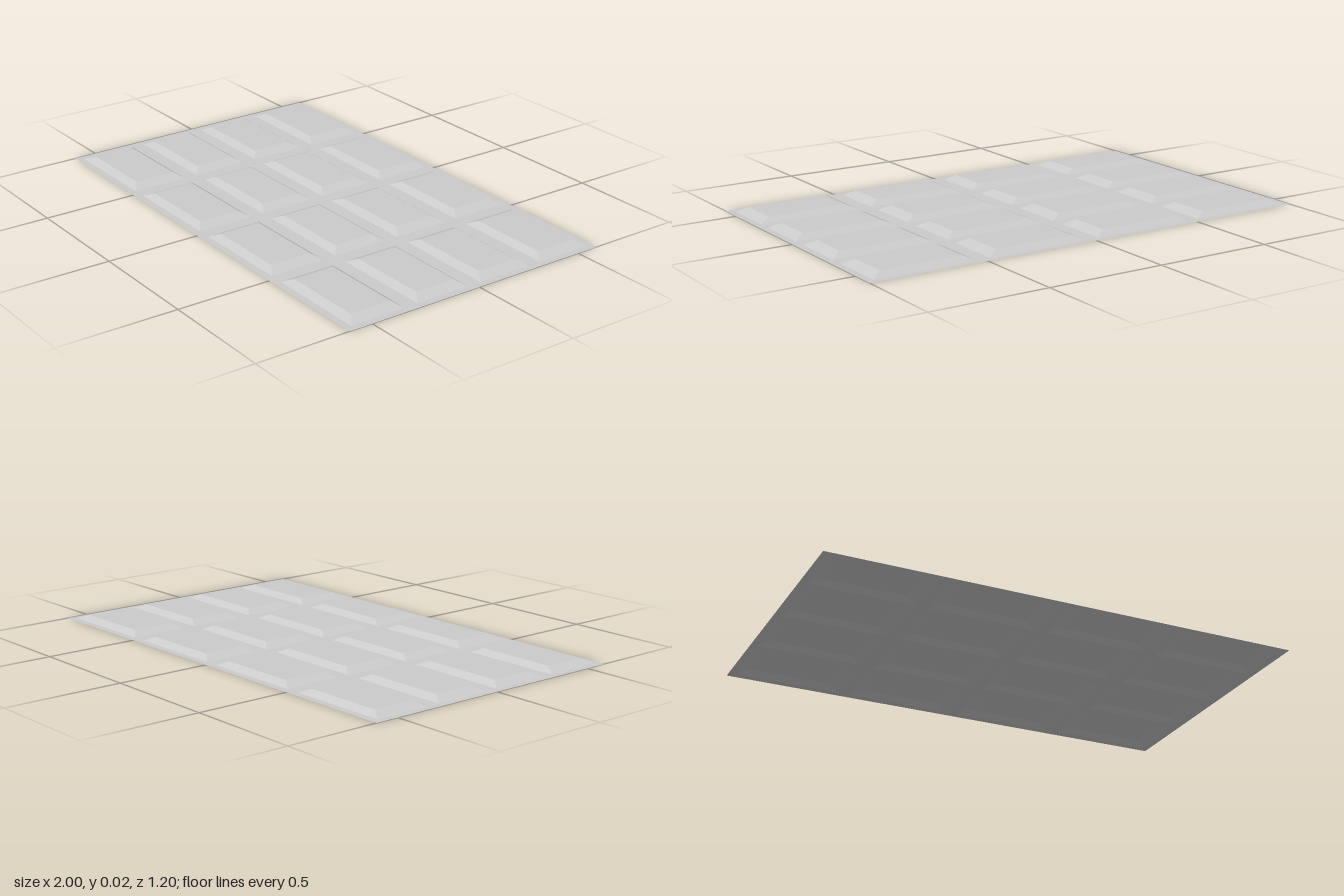
import * as THREE from 'three';

const COLS = 4, ROWS = 4;
const WIDTH = 2, DEPTH = 1.2, HEIGHT = 0.02;
const PANEL_W = 0.44, PANEL_D = 0.24;   // panel footprint
const INSET_X = 0.045, INSET_Z = 0.03;  // slope run on each side

// Corners of a rectangle, counter-clockwise seen from above
const corners = (w, d) => [[-1, 1], [1, 1], [1, -1], [-1, -1]].map(([x, z]) => [x * w / 2, z * d / 2]);

// Open-bottomed raised panel: four sloping sides and a flat top
function panelGeometry() {
  const points = [];
  for (const [x, z] of corners(PANEL_W, PANEL_D)) points.push(x, 0, z);
  for (const [x, z] of corners(PANEL_W - 2 * INSET_X, PANEL_D - 2 * INSET_Z)) points.push(x, HEIGHT, z);
  const index = [4, 5, 6, 4, 6, 7];
  for (let i = 0; i < 4; i++) {
    const j = (i + 1) % 4;
    index.push(i, j, j + 4, i, j + 4, i + 4);
  }
  const indexed = new THREE.BufferGeometry();
  indexed.setAttribute('position', new THREE.Float32BufferAttribute(points, 3));
  indexed.setIndex(index);
  const geometry = indexed.toNonIndexed();
  geometry.computeVertexNormals();
  return geometry;
}

export function createModel() {
  const model = new THREE.Group();
  model.name = 'embossedSheet';
  const material = new THREE.MeshStandardMaterial({ color: 0xcccccc, flatShading: true, side: THREE.DoubleSide });

  // Flat sheet outline, with a hole beneath every raised panel
  const toVectors = (list, cx, cz) => list.map(([x, z]) => new THREE.Vector2(x + cx, -(z + cz)));
  const outline = new THREE.Shape(toVectors(corners(WIDTH, DEPTH), 0, 0));

  // Grid of raised panels
  const geometry = panelGeometry();
  for (let r = 0; r < ROWS; r++) {
    for (let c = 0; c < COLS; c++) {
      const x = (c + 0.5) * WIDTH / COLS - WIDTH / 2;
      const z = (r + 0.5) * DEPTH / ROWS - DEPTH / 2;
      outline.holes.push(new THREE.Path(toVectors(corners(PANEL_W, PANEL_D), x, z).reverse()));
      const panel = new THREE.Mesh(geometry, material);
      panel.name = `raisedPanel_${r + 1}_${c + 1}`;
      panel.position.set(x, 0, z);
      model.add(panel);
    }
  }

  const sheet = new THREE.Mesh(new THREE.ShapeGeometry(outline).rotateX(-Math.PI / 2), material);
  sheet.name = 'baseSheet';
  model.add(sheet);
  return model;
}
